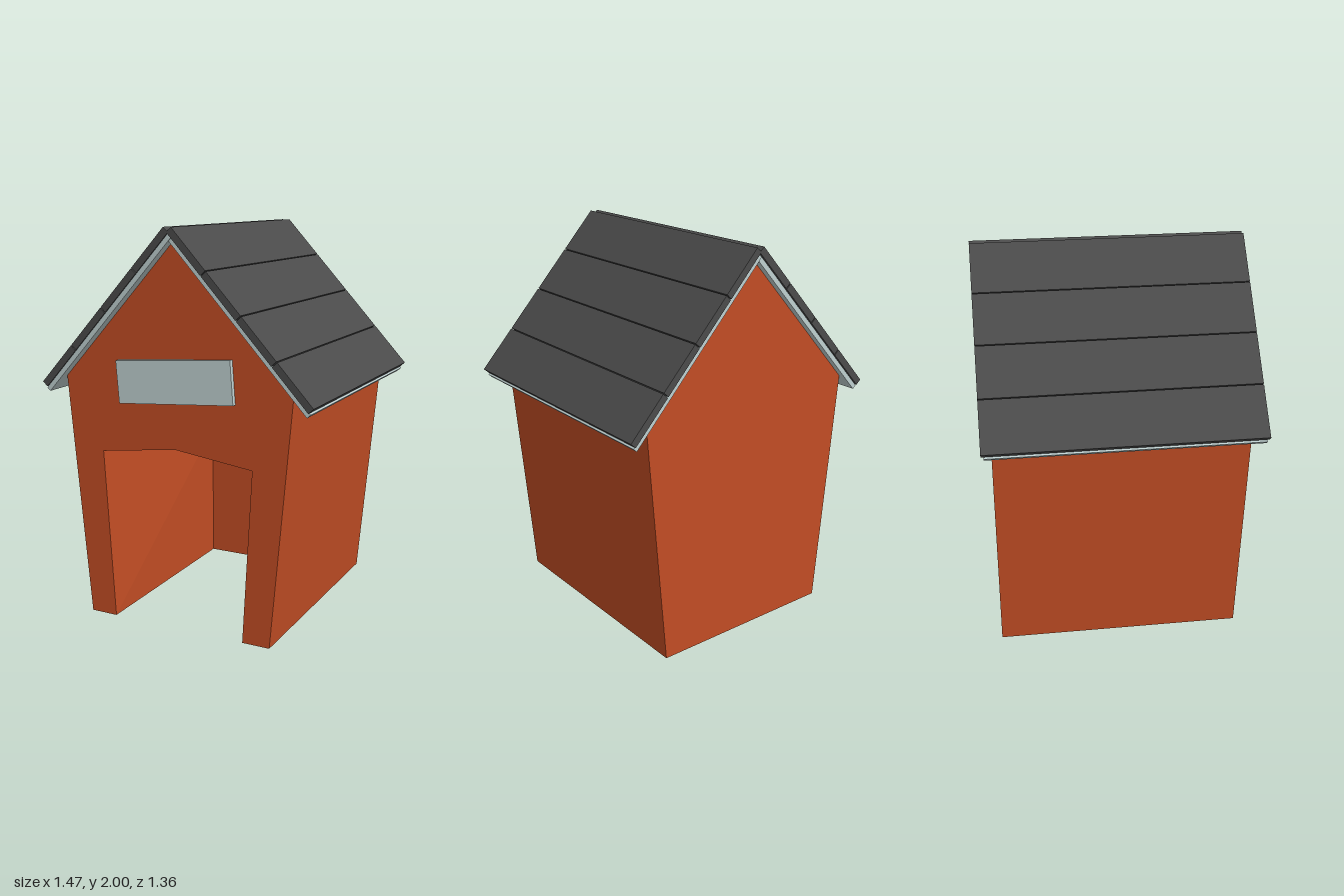
import * as THREE from 'three';
import { mergeGeometries } from 'three/addons/utils/BufferGeometryUtils.js';

const orange = new THREE.MeshStandardMaterial({ name: 'orange painted wood', color: 0xc24d24 });
const pale = new THREE.MeshStandardMaterial({ name: 'pale grey trim', color: 0xbfd0d0 });
const slate = new THREE.MeshStandardMaterial({ name: 'dark roof boards', color: 0x4b4b4b });

const FRONT = 0.62, BACK = -0.63, CAVITY_BACK = -0.47;

// flat face from outline points, facing +z
function face(points) {
  const shape = new THREE.Shape(points.map(([x, y]) => new THREE.Vector2(x, y)));
  const g = new THREE.ShapeGeometry(shape).toNonIndexed();
  g.deleteAttribute('uv');
  return g;
}

// flat-sided strip between a front and a back outline
function strip(a, za, b, zb) {
  const pos = [];
  for (let i = 0; i < a.length - 1; i++) {
    const a0 = [...a[i], za], a1 = [...a[i + 1], za];
    const b0 = [...b[i], zb], b1 = [...b[i + 1], zb];
    pos.push(...a0, ...b0, ...b1, ...a0, ...b1, ...a1);
  }
  const g = new THREE.BufferGeometry();
  g.setAttribute('position', new THREE.Float32BufferAttribute(pos, 3));
  g.computeVertexNormals();
  return g;
}

// symmetric outline running from the left foot over the peak to the right foot
function arch(foot, shoulder, shoulderY, peakY) {
  return [[-foot, 0], [-shoulder, shoulderY], [0, peakY], [shoulder, shoulderY], [foot, 0]];
}

function makeHouse() {
  const wall = arch(0.51, 0.622, 1.255, 1.94).reverse();
  const door = arch(0.365, 0.415, 0.88, 0.934);
  const inner = arch(0.365, 0.365, 0.77, 0.817);
  const geometry = mergeGeometries([
    face([...wall, ...door]),                              // front with doorway
    face(wall).rotateY(Math.PI).translate(0, 0, BACK),     // back
    strip(wall, FRONT, wall, BACK),                        // sides and gable slopes
    strip(door, FRONT, inner, CAVITY_BACK),                // tapering hollow
    face(inner).translate(0, 0, CAVITY_BACK),              // rear of the hollow
    face([[-0.51, FRONT], [-0.51, BACK], [0.51, BACK], [0.51, FRONT],
      [0.365, FRONT], [0.365, CAVITY_BACK], [-0.365, CAVITY_BACK], [-0.365, FRONT]])
      .rotateX(Math.PI / 2),                               // underside
  ].map((g, i) => (i === 0 ? g.translate(0, 0, FRONT) : g)));
  const house = new THREE.Mesh(geometry, orange);
  house.name = 'houseBody';
  house.position.x = -0.007;
  return house;
}

// box placed by its limits
function slab(name, material, [x0, x1], [y0, y1], [z0, z1]) {
  const mesh = new THREE.Mesh(new THREE.BoxGeometry(x1 - x0, y1 - y0, z1 - z0), material);
  mesh.position.set((x0 + x1) / 2, (y0 + y1) / 2, (z0 + z1) / 2);
  mesh.name = name;
  return mesh;
}

// one roof slope: local x runs down the slope, local y away from it
function makeRoofSlope(name) {
  const slope = new THREE.Group();
  slope.name = name;
  slope.add(slab('roofUnderlay', pale, [-0.022, 1.034], [0, 0.024], [-0.672, 0.667]));
  const start = -0.034, pitch = 1.058 / 4, gap = 0.005;
  for (let i = 0; i < 4; i++) {
    const x = start + i * pitch;
    slope.add(slab('roofBoard', slate, [x, x + pitch - (i < 3 ? gap : 0)], [0.024, 0.059], [-0.68, 0.68]));
  }
  slope.position.y = 1.935;
  slope.rotation.z = -Math.atan2(0.737, 0.676);
  return slope;
}

export function createModel() {
  const model = new THREE.Group();
  model.name = 'kennel';
  model.add(makeHouse());

  const left = makeRoofSlope('leftRoof');
  const right = new THREE.Group();
  right.name = 'rightRoof';
  right.add(makeRoofSlope('roofSlope'));
  right.rotation.y = Math.PI;
  model.add(left, right);

  // blank crooked name board above the doorway
  const sign = slab('nameBoard', pale, [-0.313, 0.313], [1.164, 1.377], [FRONT - 0.005, FRONT + 0.025]);
  sign.rotation.z = 0.075;
  model.add(sign);
  return model;
}
